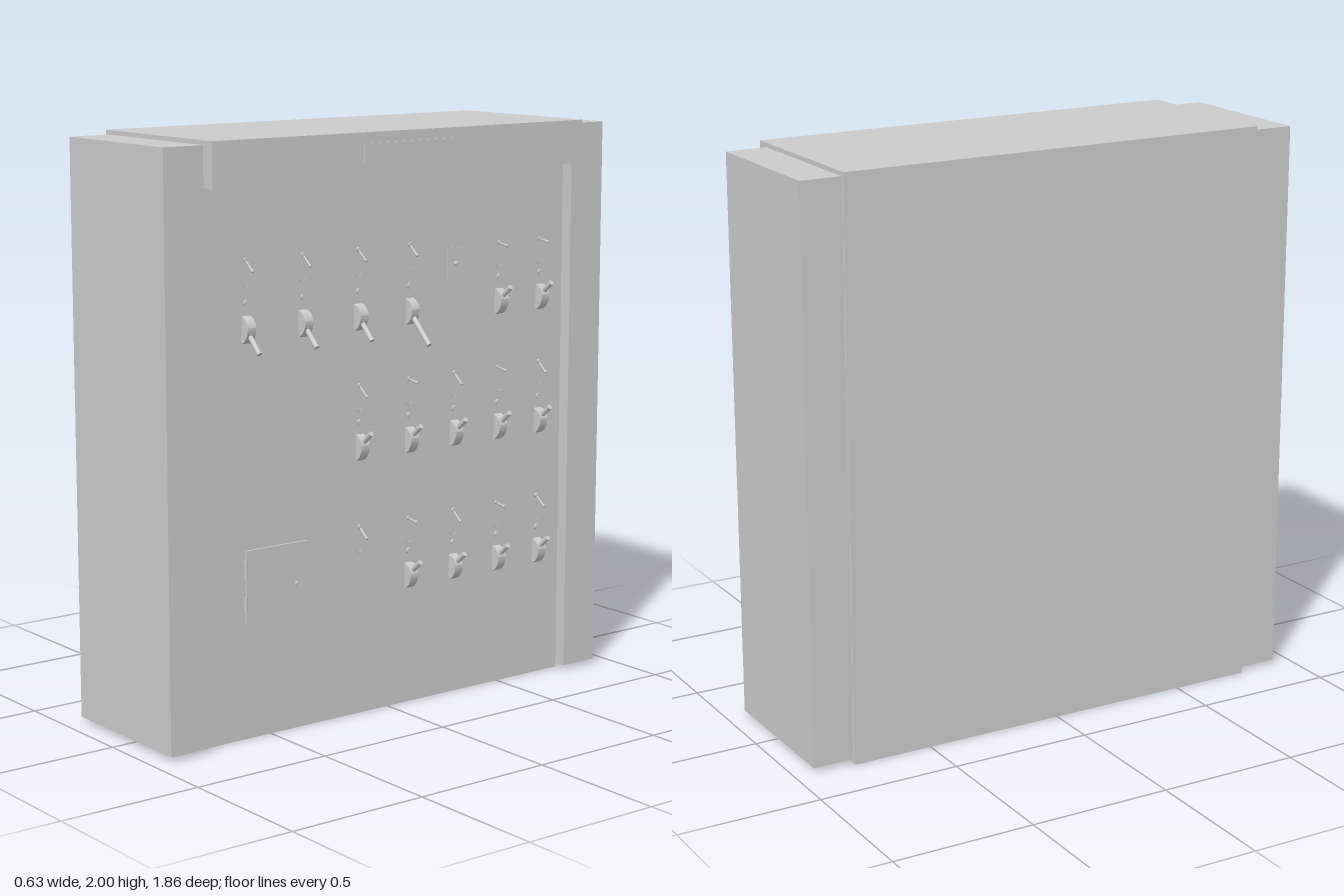
import * as THREE from 'three';

const mat = new THREE.MeshStandardMaterial({ color: 0xcccccc });
const FACE = 0.2; // x of the control panel surface

export function createModel() {
  const root = new THREE.Group();
  const add = (name, geo, parent = root) => {
    const m = new THREE.Mesh(geo, mat);
    m.name = name;
    parent.add(m);
    return m;
  };
  // Box given by its min and max corners
  const box = (name, x0, x1, y0, y1, z0, z1, parent) => {
    const m = add(name, new THREE.BoxGeometry(x1 - x0, y1 - y0, z1 - z0), parent);
    m.position.set((x0 + x1) / 2, (y0 + y1) / 2, (z0 + z1) / 2);
    return m;
  };
  // Round rod between two points in the x-y plane
  const rod = (name, x0, y0, x1, y1, z, r, parent) => {
    const a = new THREE.Vector3(x0, y0, z), b = new THREE.Vector3(x1, y1, z);
    const d = b.clone().sub(a);
    const m = add(name, new THREE.CylinderGeometry(r, r, d.length(), 12), parent);
    m.position.copy(a).add(b).multiplyScalar(0.5);
    m.quaternion.setFromUnitVectors(new THREE.Vector3(0, 1, 0), d.normalize());
    return m;
  };

  // Cabinet, side pillars and top hood
  box('cabinetBody', -0.32, FACE, 0, 2, -0.785, 0.78);
  box('leftPillar', -0.305, 0.245, 0.015, 1.985, 0.78, 0.93);
  box('rightPillar', -0.305, 0.245, 0.015, 1.985, -0.93, -0.785);
  box('topHood', FACE, 0.295, 1.85, 2, -0.785, 0.78);
  box('namePlate', 0.295, 0.301, 1.9, 1.965, -0.2, 0.18);

  // Lever bracket: flat top, rounded underside
  const s = new THREE.Shape();
  s.moveTo(-0.005, -0.047);
  s.quadraticCurveTo(0.033, -0.035, 0.036, 0.01);
  s.quadraticCurveTo(0.03, 0.04, -0.005, 0.047);
  s.closePath();
  const bracketGeo = new THREE.ExtrudeGeometry(s, { depth: 0.034, bevelEnabled: false, curveSegments: 8 });
  bracketGeo.translate(0, 0, -0.017);

  // Lever with its pilot lamp; y is the bracket centre, reach the handle's travel in x
  const lever = (y, z, down, reach) => {
    const g = new THREE.Group();
    g.name = 'leverSwitch';
    add('bracket', bracketGeo, g).position.set(FACE, y, z);
    if (down) rod('handle', FACE + 0.01, y - 0.005, FACE + reach, y - 0.005 - (reach - 0.01), z, 0.009, g);
    else rod('handle', FACE + 0.01, y + 0.01, FACE + reach, y + 0.01 + (reach - 0.01) * 0.85, z, 0.009, g);
    rod('lamp', FACE - 0.002, y + 0.088, FACE + 0.008, y + 0.088, z, 0.01, g);
    root.add(g);
  };
  // Small toggle with collar, stalk and knob
  const toggle = (y, z, down) => {
    const g = new THREE.Group();
    g.name = 'toggleSwitch';
    const tip = y + (down ? -0.033 : -0.008);
    rod('collar', FACE - 0.002, y, FACE + 0.008, y, z, 0.008, g);
    rod('stalk', FACE, y, FACE + 0.04, tip, z, 0.0035, g);
    add('knob', new THREE.SphereGeometry(0.006, 10, 8), g).position.set(FACE + 0.041, tip, z);
    // Thin curved mark under the toggle
    const arc = add('dialMark', new THREE.TorusGeometry(0.014, 0.0015, 4, 10, Math.PI), g);
    arc.rotation.set(0, Math.PI / 2, Math.PI);
    arc.position.set(FACE, y - 0.075, z);
    root.add(g);
  };

  // Top row
  for (const z of [0.59, 0.36, 0.13, -0.09]) {
    toggle(1.605, z, true);
    lever(1.377, z, true, z < 0 ? 0.108 : 0.076);
  }
  for (const z of [-0.49, -0.68]) {
    toggle(1.583, z, false);
    lever(1.377, z, false, 0.064);
  }
  // Middle row
  [0.125, -0.09, -0.29, -0.49, -0.68].forEach((z, i) => {
    toggle(1.145, z, i % 2 === 0);
    lever(0.932, z, false, 0.066);
  });
  // Bottom row
  [0.125, -0.09, -0.29, -0.49, -0.68].forEach((z, i) => {
    toggle(0.658, z, i % 2 === 0);
    if (i > 0) lever(0.455, z, false, 0.066);
  });

  // Small key plate in the gap of the top row
  box('keyPlate', FACE - 0.002, FACE + 0.003, 1.465, 1.58, -0.325, -0.255);
  rod('keyKnob', FACE, 1.525, FACE + 0.02, 1.525, -0.29, 0.008);

  // Access door with hinges and latch
  box('accessDoor', FACE - 0.002, FACE + 0.008, 0.4, 0.645, 0.35, 0.6);
  for (const y of [0.585, 0.46]) rod('doorHinge', FACE + 0.004, y - 0.028, FACE + 0.004, y + 0.028, 0.6, 0.006);
  rod('doorLatch', FACE + 0.006, 0.505, FACE + 0.016, 0.505, 0.395, 0.008);

  return root;
}
